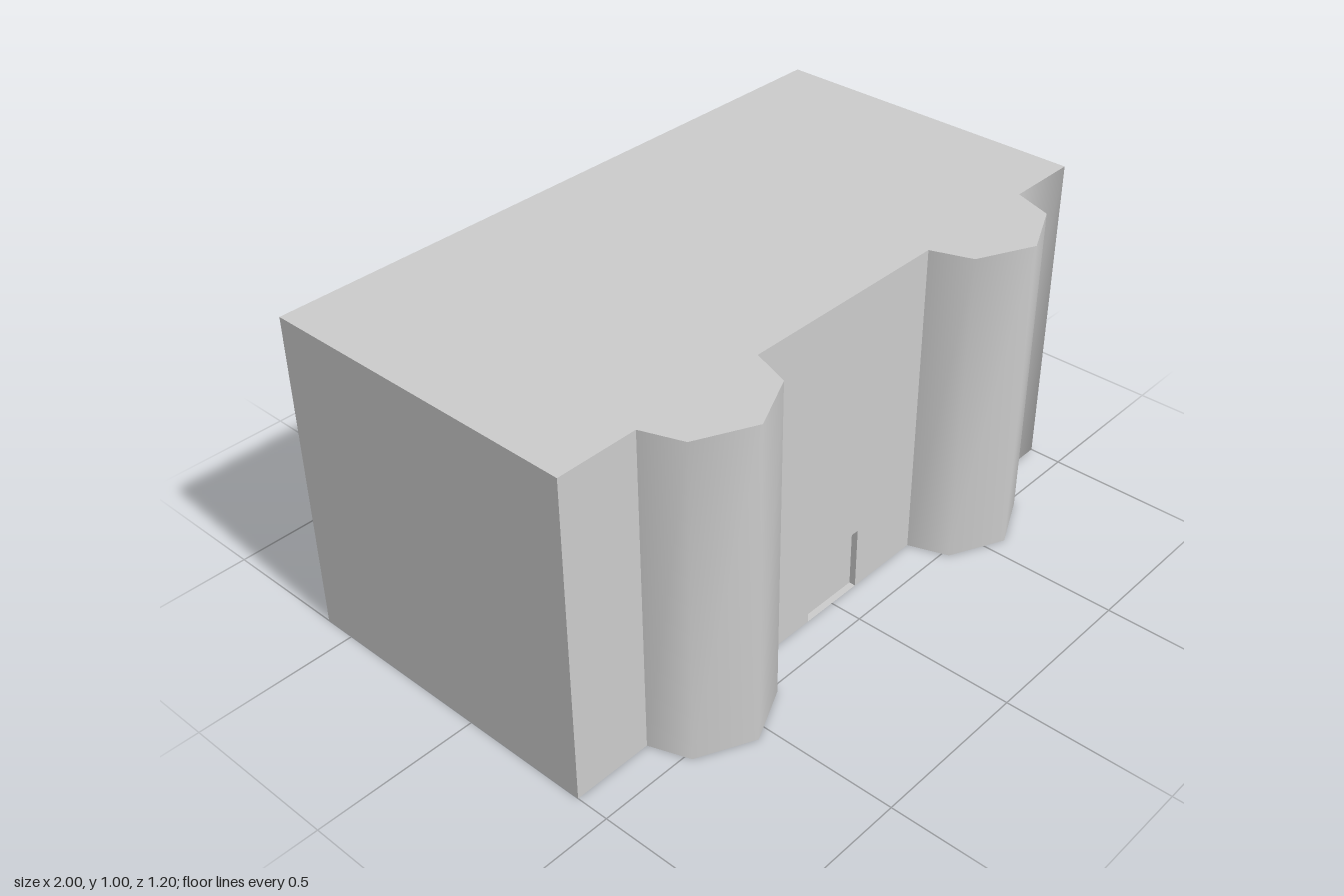
import * as THREE from 'three';

const HEIGHT = 1, FRONT = 0.4, BACK = -0.6;
const DOOR_W = 0.105, DOOR_H = 0.2, DOOR_DEPTH = 0.02;

const material = new THREE.MeshStandardMaterial({ color: 0xcccccc });
const doubleMaterial = new THREE.MeshStandardMaterial({ color: 0xcccccc, side: THREE.DoubleSide });

// Upright wall following plan points [x, z]; normals blend along the run
function wall(points) {
  const positions = [], indices = [];
  points.forEach(([x, z], i) => {
    positions.push(x, 0, z, x, HEIGHT, z);
    if (i > 0) {
      const a = 2 * (i - 1), b = 2 * i;
      indices.push(a, b, b + 1, a, b + 1, a + 1);
    }
  });
  const geometry = new THREE.BufferGeometry();
  geometry.setAttribute('position', new THREE.Float32BufferAttribute(positions, 3));
  geometry.setIndex(indices);
  geometry.computeVertexNormals();
  return geometry;
}

// Five-point plan of a bay standing out from the front
function bayPlan(cx) {
  return [[-0.21, FRONT], [-0.167, 0.52], [0, 0.6], [0.167, 0.52], [0.21, FRONT]]
    .map(([x, z]) => [cx + x, z]);
}

export function createModel() {
  const model = new THREE.Group();
  const add = (name, geometry, mat = material) => {
    const mesh = new THREE.Mesh(geometry, mat);
    mesh.name = name;
    model.add(mesh);
    return mesh;
  };

  const rightBay = bayPlan(-0.543), leftBay = bayPlan(0.562);
  const innerRight = rightBay[4], innerLeft = leftBay[0];

  // Walls; the left front corner is softly shaded
  add('frontRightWall', wall([[-1, FRONT], rightBay[0]]));
  add('rightBay', wall(rightBay));
  add('leftBay', wall(leftBay));
  add('frontLeftAndSideWall', wall([leftBay[4], [1, FRONT], [1, BACK]]));
  add('backWall', wall([[1, BACK], [-1, BACK]]));
  add('rightSideWall', wall([[-1, BACK], [-1, FRONT]]));

  // Middle front wall, cut out around the doorway
  const middle = new THREE.Shape([
    [innerRight[0], 0], [-DOOR_W, 0], [-DOOR_W, DOOR_H], [DOOR_W, DOOR_H],
    [DOOR_W, 0], [innerLeft[0], 0], [innerLeft[0], HEIGHT], [innerRight[0], HEIGHT],
  ].map(([x, y]) => new THREE.Vector2(x, y)));
  add('frontMiddleWall', new THREE.ShapeGeometry(middle)).position.z = FRONT;

  // Shallow doorway: door, two jambs and a lintel
  add('door', new THREE.PlaneGeometry(2 * DOOR_W, DOOR_H))
    .position.set(0, DOOR_H / 2, FRONT - DOOR_DEPTH);
  for (const side of [-1, 1]) {
    const jamb = add('doorJamb', new THREE.PlaneGeometry(DOOR_DEPTH, DOOR_H));
    jamb.rotation.y = -side * Math.PI / 2;
    jamb.position.set(side * DOOR_W, DOOR_H / 2, FRONT - DOOR_DEPTH / 2);
  }
  const lintel = add('doorLintel', new THREE.PlaneGeometry(2 * DOOR_W, DOOR_DEPTH));
  lintel.rotation.x = Math.PI / 2;
  lintel.position.set(0, DOOR_H, FRONT - DOOR_DEPTH / 2);

  // Flat roof and base share the full outline
  const outline = [[-1, FRONT], ...rightBay, ...leftBay, [1, FRONT], [1, BACK], [-1, BACK]];
  const plan = new THREE.ShapeGeometry(
    new THREE.Shape(outline.map(([x, z]) => new THREE.Vector2(x, -z))));
  plan.rotateX(-Math.PI / 2);
  add('roof', plan).position.y = HEIGHT;
  add('base', plan, doubleMaterial);

  return model;
}
